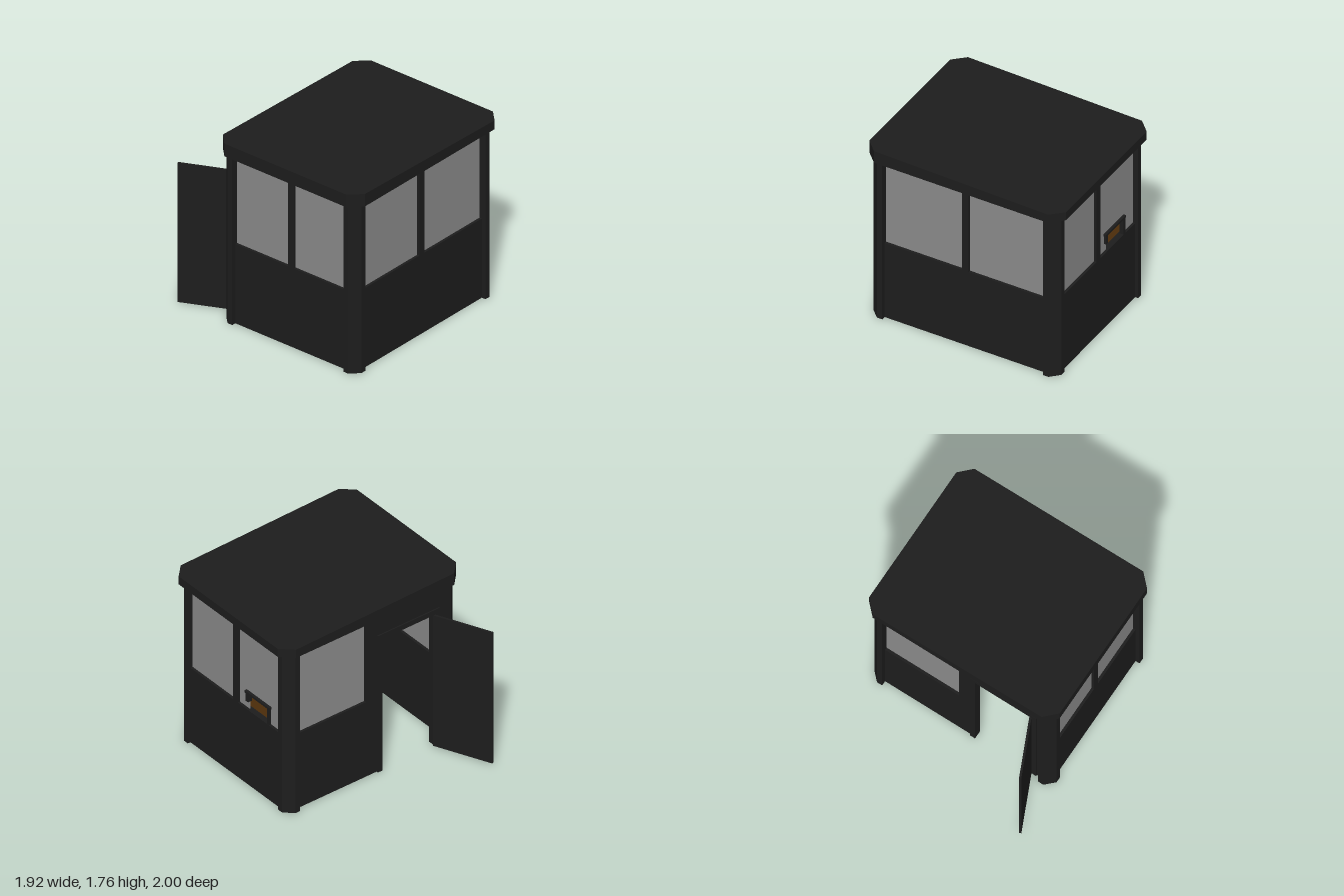
import * as THREE from 'three';

export function createModel() {
  const booth = new THREE.Group();
  booth.name = 'guardBooth';
  const paint = new THREE.MeshStandardMaterial({ color: 0x1d1d1d });
  paint.name = 'charcoal paint';
  const glass = new THREE.MeshStandardMaterial({ color: 0x8b8b8b, side: THREE.DoubleSide });
  glass.name = 'grey glass';
  const wood = new THREE.MeshStandardMaterial({ color: 0x4b2c09 });
  wood.name = 'brown wood';

  function add(name, geometry, material = paint) {
    const mesh = new THREE.Mesh(geometry, material);
    mesh.name = name;
    booth.add(mesh);
    return mesh;
  }
  // Box given by its limits on each axis
  function box(name, [x0, x1], [y0, y1], [z0, z1], material) {
    const g = new THREE.BoxGeometry(Math.abs(x1 - x0), y1 - y0, Math.abs(z1 - z0));
    g.translate((x0 + x1) / 2, (y0 + y1) / 2, (z0 + z1) / 2);
    return add(name, g, material);
  }
  // Upright prism over a plan outline of [x, z] points
  function prism(outline, y0, y1) {
    const shape = new THREE.Shape(outline.map(([x, z]) => new THREE.Vector2(x, -z)));
    const g = new THREE.ExtrudeGeometry(shape, { depth: y1 - y0, bevelEnabled: false });
    return g.rotateX(-Math.PI / 2).translate(0, y0, 0);
  }

  const BASE = 0.015, SILL = 0.785, HEAD = 1.605, EAVE = 1.65;
  // Outer limits of the corner posts
  const X0 = -0.925, X1 = 0.91, Z0 = -0.525, Z1 = 0.96;
  // Outer planes of the recessed walls
  const LEFT = 0.882, RIGHT = -0.885, BACK = -0.48, FRONT = 0.92;

  // Roof slab with cut corners, its top sloping down towards +x
  const a = 0.96, c = 0.11, zb = -0.56, zf = 1.0;
  const roof = prism([
    [-a + c, zb], [a - c, zb], [a, zb + c], [a, zf - c],
    [a - c, zf], [-a + c, zf], [-a, zf - c], [-a, zb + c],
  ], EAVE, 1.753);
  const p = roof.attributes.position;
  for (let i = 0; i < p.count; i++) {
    if (p.getY(i) > 1.7) p.setY(i, 1.753 - 0.021 * p.getX(i));
  }
  roof.computeVertexNormals();
  add('roof', roof);

  // Corner posts with a chamfered outer edge
  for (const sx of [-1, 1]) {
    for (const sz of [-1, 1]) {
      const x = sx > 0 ? X1 : X0, z = sz > 0 ? Z1 : Z0, w = 0.132, k = 0.08;
      add('cornerPost', prism([
        [x - sx * w, z], [x - sx * k, z], [x, z - sz * k],
        [x, z - sz * w], [x - sx * w, z - sz * w],
      ], BASE, EAVE));
    }
  }

  // Wall piece: axis is the facing axis, face the outer plane, dir its outward sign
  function piece(name, axis, face, dir, along, ys, inset = 0, thick = 0.055, material = paint) {
    const depth = [face - dir * (inset + thick), face - dir * inset];
    return axis === 'z' ? box(name, along, ys, depth, material) : box(name, depth, ys, along, material);
  }
  const pane = (axis, face, dir, along, ys = [SILL, HEAD]) =>
    piece('windowGlass', axis, face, dir, along, ys, 0.024, 0.006, glass);

  // Front wall and windows
  piece('frontWall', 'z', FRONT, 1, [-0.81, 0.79], [BASE, SILL]);
  piece('frontHeader', 'z', FRONT, 1, [-0.81, 0.79], [HEAD, EAVE]);
  piece('frontMullion', 'z', FRONT, 1, [-0.04, 0.028], [SILL, HEAD]);
  pane('z', FRONT, 1, [-0.8, -0.035]);
  pane('z', FRONT, 1, [0.023, 0.785]);

  // Side walls and windows
  for (const [face, dir] of [[RIGHT, -1], [LEFT, 1]]) {
    piece('sideWall', 'x', face, dir, [-0.4, 0.84], [BASE, SILL]);
    piece('sideHeader', 'x', face, dir, [-0.4, 0.84], [HEAD, EAVE]);
    piece('sideMullion', 'x', face, dir, [0.187, 0.25], [SILL, HEAD]);
    pane('x', face, dir, [0.245, 0.835]);
  }
  pane('x', RIGHT, -1, [-0.395, 0.19]);

  // Serving window: glass around a framed hatch
  pane('x', LEFT, 1, [-0.395, 0.19], [0.95, HEAD]);
  pane('x', LEFT, 1, [-0.395, -0.215], [SILL, 0.95]);
  pane('x', LEFT, 1, [0.055, 0.19], [SILL, 0.95]);
  piece('hatchTop', 'x', LEFT, 1, [-0.24, 0.095], [0.945, 0.965], -0.002, 0.05);
  piece('hatchSide', 'x', LEFT, 1, [-0.235, -0.202], [SILL, 0.947], 0.003, 0.04);
  piece('hatchSide', 'x', LEFT, 1, [0.052, 0.085], [0.86, 0.947], 0.003, 0.04);

  // Back wall: window on the left, doorway on the right
  piece('backWall', 'z', BACK, -1, [-0.09, 0.79], [BASE, SILL]);
  piece('backHeader', 'z', BACK, -1, [-0.81, 0.79], [HEAD, EAVE]);
  piece('backPanel', 'z', BACK, -1, [-0.09, 0.035], [SILL, HEAD]);
  piece('backPanelOverDoor', 'z', BACK, -1, [-0.81, -0.09], [1.41, HEAD]);
  piece('backPanelBesideDoor', 'z', BACK, -1, [-0.81, -0.74], [BASE, 1.41]);
  pane('z', BACK, -1, [0.03, 0.785]);

  // Door frame
  for (const along of [[-0.75, -0.7], [-0.135, -0.085]]) {
    piece('doorJamb', 'z', BACK, -1, along, [0.01, 1.42], -0.012, 0.08);
  }
  piece('doorLintel', 'z', BACK, -1, [-0.7, -0.135], [1.37, 1.42], -0.012, 0.08);

  // Door leaf, hinged at its edge and standing open
  const leaf = new THREE.BoxGeometry(0.56, 1.35, 0.02).translate(0.28, 0.695, 0);
  const door = add('door', leaf);
  door.position.set(-0.69, 0, -0.485);
  door.rotation.y = Math.PI - Math.atan2(0.51, 0.23);

  // Desk along the serving side
  box('deskTop', [0.35, 0.826], [0.745, 0.775], [-0.42, 0.864], wood);

  return booth;
}
